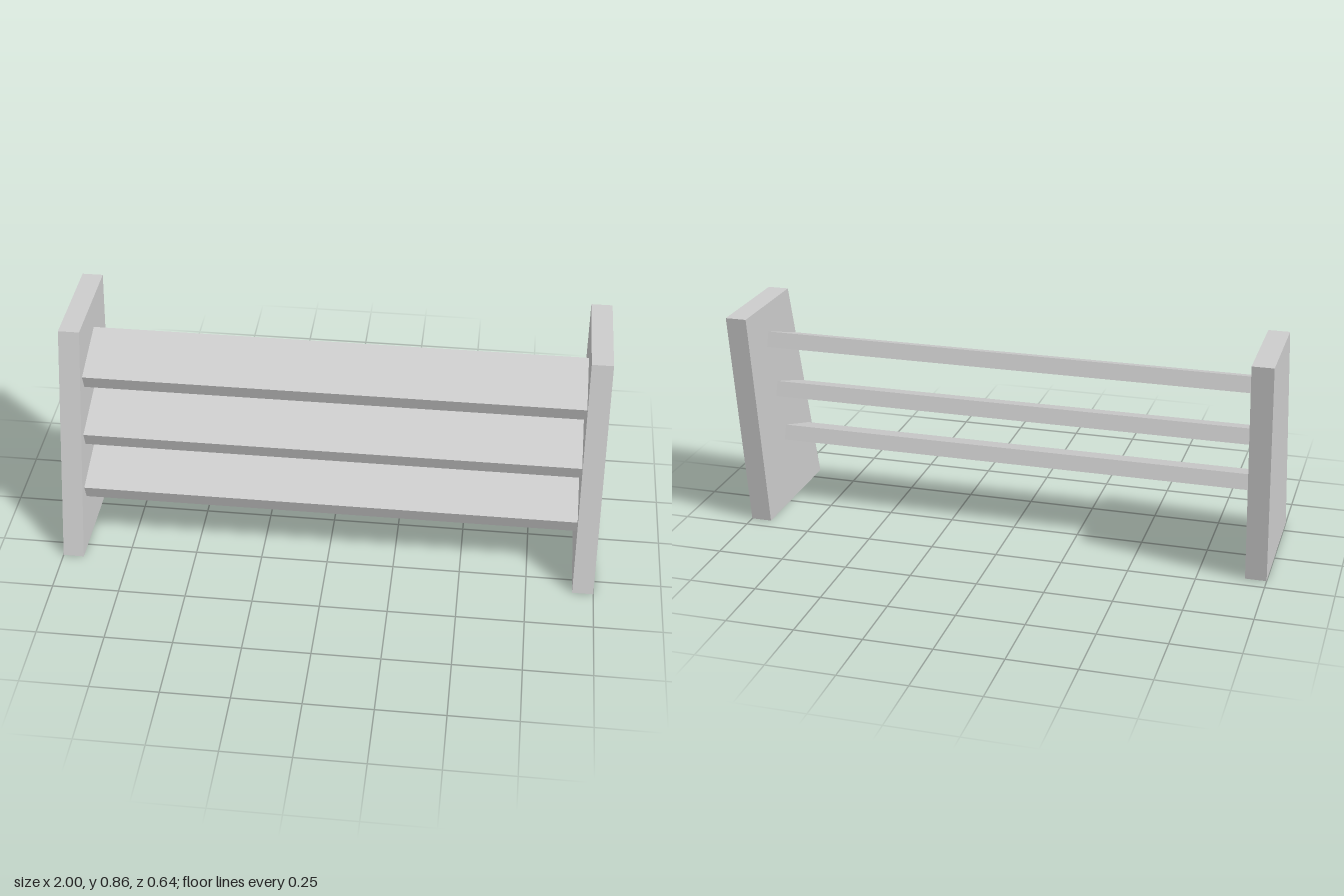
import * as THREE from 'three';

const material = new THREE.MeshStandardMaterial({ color: 0xcccccc, flatShading: true });

const PANEL = 0.078; // side panel thickness

// Leaning side panel, outlined as (z, y) and extruded along x
function panelGeometry() {
  const outline = new THREE.Shape([
    new THREE.Vector2(0.322, 0),
    new THREE.Vector2(0.077, 0.857),
    new THREE.Vector2(-0.322, 0.857),
    new THREE.Vector2(-0.197, 0),
  ]);
  const geometry = new THREE.ExtrudeGeometry(outline, { depth: PANEL, bevelEnabled: false });
  geometry.translate(0, 0, -PANEL / 2);
  geometry.rotateY(-Math.PI / 2);
  return geometry;
}

// Shelf board with its origin on the top front edge, tilted down to the front
function shelfGeometry() {
  const run = 0.225, rise = 0.075, thickness = 0.058;
  const depth = Math.hypot(run, rise);
  const geometry = new THREE.BoxGeometry(2 - 2 * PANEL, thickness, depth);
  geometry.translate(0, -thickness / 2, -depth / 2);
  geometry.rotateX(Math.atan2(rise, run));
  return geometry;
}

export function createModel() {
  const group = new THREE.Group();
  group.name = 'tiltedShelfRack';

  // Side panels
  const panel = panelGeometry();
  for (const side of [1, -1]) {
    const mesh = new THREE.Mesh(panel, material);
    mesh.name = side > 0 ? 'leftPanel' : 'rightPanel';
    mesh.position.x = side * (1 - PANEL / 2);
    group.add(mesh);
  }

  // Three shelves, stepping back as they rise: [y, z] of the top front edge
  const shelf = shelfGeometry();
  const edges = { lowerShelf: [0.252, 0.219], middleShelf: [0.455, 0.159], upperShelf: [0.674, 0.099] };
  for (const [name, [y, z]] of Object.entries(edges)) {
    const mesh = new THREE.Mesh(shelf, material);
    mesh.name = name;
    mesh.position.set(0, y, z);
    group.add(mesh);
  }

  return group;
}
